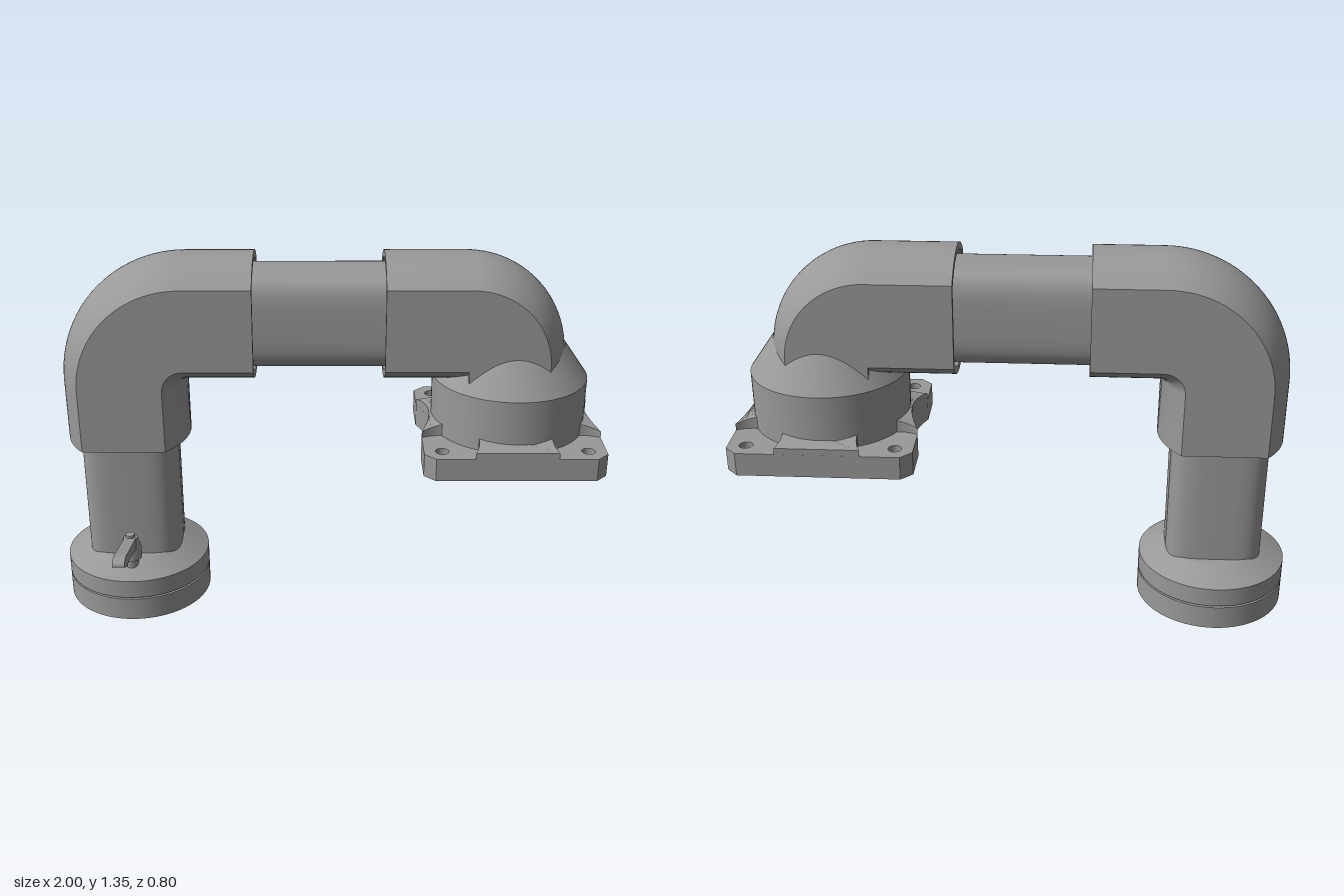
import * as THREE from 'three';
import { toCreasedNormals } from 'three/addons/utils/BufferGeometryUtils.js';

const Z = -0.075, BASE_X = -0.732, FLANGE_X = 0.67, TUBE_Y = 1.125;

// flat sides with crowned top and bottom: [bend-plane offset, z offset]
function crownSection(half = 0.225, corner = 0.15, hw = 0.195, n = 20) {
  const rise = half - corner, r = (hw * hw + rise * rise) / (2 * rise), max = Math.asin(hw / r);
  const arc = [];
  for (let i = 0; i <= n; i++) {
    const t = -max + (2 * max * i) / n;
    arc.push([half - r + r * Math.cos(t), r * Math.sin(t)]);
  }
  return [...arc, ...arc.map(([a, b]) => [-a, -b])];
}

// soft-cornered oblong for the straight tubes
function tubeSection(half = 0.175, hw = 0.1425, n = 64) {
  const soft = v => Math.sign(v) * Math.abs(v) ** 0.5;
  return Array.from({ length: n }, (_, i) => {
    const t = (i / n) * Math.PI * 2;
    return [half * soft(Math.cos(t)), hw * soft(Math.sin(t))];
  });
}

// ring of points at (x, y); angle is the direction of the section's first axis
function ring(section, x, y, angle, scale = 1, min = -1) {
  const c = Math.cos(angle), s = Math.sin(angle);
  return section.map(([a, b]) => {
    const o = Math.max(a * scale, min);
    return [x + c * o, y + s * o, Z + b * scale];
  });
}

function loft(rings, crease = 0.6) {
  const n = rings[0].length, index = [];
  for (let r = 0; r < rings.length - 1; r++) {
    for (let j = 0; j < n; j++) {
      const a = r * n + j, b = r * n + ((j + 1) % n);
      index.push(a, b, b + n, a, b + n, a + n);
    }
  }
  const g = new THREE.BufferGeometry();
  g.setAttribute('position', new THREE.Float32BufferAttribute(rings.flat(2), 3));
  g.setIndex(index);
  return toCreasedNormals(g, crease);
}

const lathe = (pts, seg = 64) =>
  toCreasedNormals(new THREE.LatheGeometry(pts.map(p => new THREE.Vector2(...p)), seg), 0.35);

// horizontal plate between two heights
function plate(shape, y0, y1) {
  const g = new THREE.ExtrudeGeometry(shape, { depth: y1 - y0, bevelEnabled: false, curveSegments: 24 });
  return g.rotateX(-Math.PI / 2).translate(0, y0, 0);
}

const circle = (x, y, r) => new THREE.Path().absarc(x, y, r, 0, Math.PI * 2, true);

// pocket shaped like a piece of a ring
function sector(r0, r1, mid, half) {
  const p = new THREE.Path();
  p.absarc(0, 0, r1, mid - half, mid + half, false);
  p.absarc(0, 0, r0, mid + half, mid - half, true);
  p.closePath();
  return p;
}

// square flange outline with chamfered corners and two hollowed sides
function flangeOutline() {
  const h = 0.325, c = 0.285, e = 0.147, s = new THREE.Shape();
  s.moveTo(h, -e).quadraticCurveTo(0.255, 0, h, e);
  s.lineTo(h, c).lineTo(c, h).lineTo(-c, h).lineTo(-h, c).lineTo(-h, e);
  s.quadraticCurveTo(-0.255, 0, -h, -e);
  s.lineTo(-h, -c).lineTo(-c, -h).lineTo(c, -h).lineTo(h, -c).closePath();
  for (const x of [-1, 1]) for (const y of [-1, 1]) s.holes.push(circle(x * 0.26, y * 0.26, 0.024));
  return s;
}

// raised skirt of the flange, cut away around the four screw pads
function skirtGeometry() {
  const h = 0.325, e = 0.147, k = 0.26, r = 0.13, s = new THREE.Shape();
  const out = Math.atan2(e - k, h - k), inn = Math.atan2(h - k, e - k);
  const notch = q => {
    const a = (q * Math.PI) / 2, m = a + Math.PI / 4, d = k * Math.SQRT2;
    s.absarc(d * Math.cos(m), d * Math.sin(m), r, out + a, inn + a, true);
  };
  s.moveTo(h, -e).quadraticCurveTo(0.255, 0, h, e);
  notch(0);
  notch(1);
  s.quadraticCurveTo(-0.255, 0, -h, -e);
  notch(2);
  notch(3);
  const g = plate(s, 0.69, 0.74), p = g.attributes.position;
  for (let i = 0; i < p.count; i++) {
    if (p.getY(i) > 0.72) p.setY(i, 0.745 - 0.28 * (Math.hypot(p.getX(i), p.getZ(i)) - 0.28));
  }
  g.computeVertexNormals();
  return g;
}

export function createModel() {
  const model = new THREE.Group();
  model.name = 'supportArm';
  const metal = new THREE.MeshStandardMaterial({ color: 0x999999 });
  metal.name = 'grey metal';
  const add = (parent, name, geometry) => {
    const m = new THREE.Mesh(geometry, metal);
    m.name = name;
    parent.add(m);
    return m;
  };
  const group = (name, x, y, z) => {
    const g = new THREE.Group();
    g.name = name;
    g.position.set(x, y, z);
    model.add(g);
    return g;
  };
  const UP = Math.PI / 2, LEFT = Math.PI;
  const crown = crownSection(), tube = tubeSection();

  // straight tubes
  add(model, 'uprightTube', loft([0.15, 0.8].map(y => ring(tube, BASE_X, y, LEFT))));
  add(model, 'crossTube', loft([-0.4, 0.34].map(x => ring(tube, x, TUBE_Y, UP))));

  // left elbow with a recessed socket at both ends
  const wall = 0.89, cx = -0.505, cy = 0.897, R = 0.228, rings = [];
  rings.push(ring(crown, BASE_X, 0.76, LEFT, 0), ring(crown, BASE_X, 0.76, LEFT, wall),
    ring(crown, BASE_X, 0.665, LEFT, wall), ring(crown, BASE_X, 0.665, LEFT));
  for (let i = 0; i <= 24; i++) {
    const t = Math.PI - (i / 24) * UP;
    rings.push(ring(crown, cx + R * Math.cos(t), cy + R * Math.sin(t), t));
  }
  rings.push(ring(crown, -0.257, TUBE_Y, UP), ring(crown, -0.257, TUBE_Y, UP, wall),
    ring(crown, -0.35, TUBE_Y, UP, wall), ring(crown, -0.35, TUBE_Y, UP, 0));
  add(model, 'leftElbow', loft(rings));

  // right elbow, a tight bend that sinks into the flange dome
  const bx = 0.5, by = 0.99, r2 = 0.135;
  const bend = [ring(crown, 0.3, TUBE_Y, UP, 0), ring(crown, 0.3, TUBE_Y, UP, wall),
    ring(crown, 0.205, TUBE_Y, UP, wall), ring(crown, 0.205, TUBE_Y, UP), ring(crown, bx, TUBE_Y, UP)];
  for (let i = 0; i <= 24; i++) {
    const t = UP * (1 - i / 24);
    bend.push(ring(crown, bx + r2 * Math.cos(t), by + r2 * Math.sin(t), t, 1, -r2));
  }
  bend.push(ring(crown, bx + r2, 0.86, 0, 1, -r2));
  add(model, 'rightElbow', loft(bend));

  // round base: pocketed foot, narrow groove, upper ring with sloped shoulder
  const base = group('roundBase', BASE_X, 0, Z);
  const foot = new THREE.Shape().absarc(0, 0, 0.27, 0, Math.PI * 2, false);
  foot.holes.push(circle(0, 0, 0.125));
  for (let i = 0; i < 8; i++) {
    const a = ((i + 0.5) * Math.PI) / 4;
    foot.holes.push(sector(0.185, 0.245, a, 0.2));
    foot.holes.push(circle(0.165 * Math.cos(a - 0.39), 0.165 * Math.sin(a - 0.39), 0.018));
  }
  add(base, 'footRing', lathe([[0.27, 0], [0.27, 0.088], [0, 0.088]]));
  add(base, 'footUnderside', plate(foot, 0, 0.04)).scale.set(0.999, 1, 0.999);
  add(base, 'footFloor', lathe([[0, 0.04], [0.268, 0.04], [0.268, 0.05]]));
  add(base, 'grooveCore', lathe([[0.26, 0.08], [0.26, 0.1]]));
  add(base, 'shoulder', lathe([[0, 0.095], [0.27, 0.095], [0.27, 0.165], [0.18, 0.213], [0, 0.213]]));

  // square mounting flange with ribbed underside
  const flange = group('mountingFlange', FLANGE_X, 0, Z);
  const under = flangeOutline();
  under.holes.push(circle(0, 0, 0.11));
  for (let i = 0; i < 8; i++) {
    const a = ((i + 0.5) * Math.PI) / 4;
    under.holes.push(sector(0.195, 0.265, a, 0.24));
  }
  for (let i = 0; i < 4; i++) under.holes.push(circle(0.15 * Math.cos(i * UP), 0.15 * Math.sin(i * UP), 0.012));
  add(flange, 'flangeUnderside', plate(under, 0.615, 0.66));
  add(flange, 'flangePlate', plate(flangeOutline(), 0.66, 0.7));
  add(flange, 'flangeSkirt', skirtGeometry());
  add(flange, 'flangeDome', lathe([[0.282, 0.69], [0.282, 0.897], [0.194, 1.022], [0, 1.022]]));

  // clamping lever
  const lever = group('clampLever', -0.732, 0, 0.118);
  add(lever, 'leverHub', lathe([[0.026, 0.18], [0.026, 0.228], [0.038, 0.228], [0.038, 0.272],
    [0.026, 0.312], [0.017, 0.312], [0.017, 0.325], [0, 0.325]], 32));
  const arm = new THREE.Shape();
  arm.moveTo(0.01, 0.272).lineTo(0.03, 0.275).lineTo(0.2, 0.328);
  arm.quadraticCurveTo(0.218, 0.315, 0.23, 0.323).lineTo(0.282, 0.352);
  arm.quadraticCurveTo(0.285, 0.372, 0.25, 0.373).quadraticCurveTo(0.22, 0.37, 0.19, 0.359);
  arm.lineTo(0.005, 0.312).closePath();
  const armGeo = new THREE.ExtrudeGeometry(arm, { depth: 0.044, bevelEnabled: false, curveSegments: 8 });
  add(lever, 'leverArm', armGeo.rotateY(-UP).translate(0.022, 0, 0));

  return model;
}
